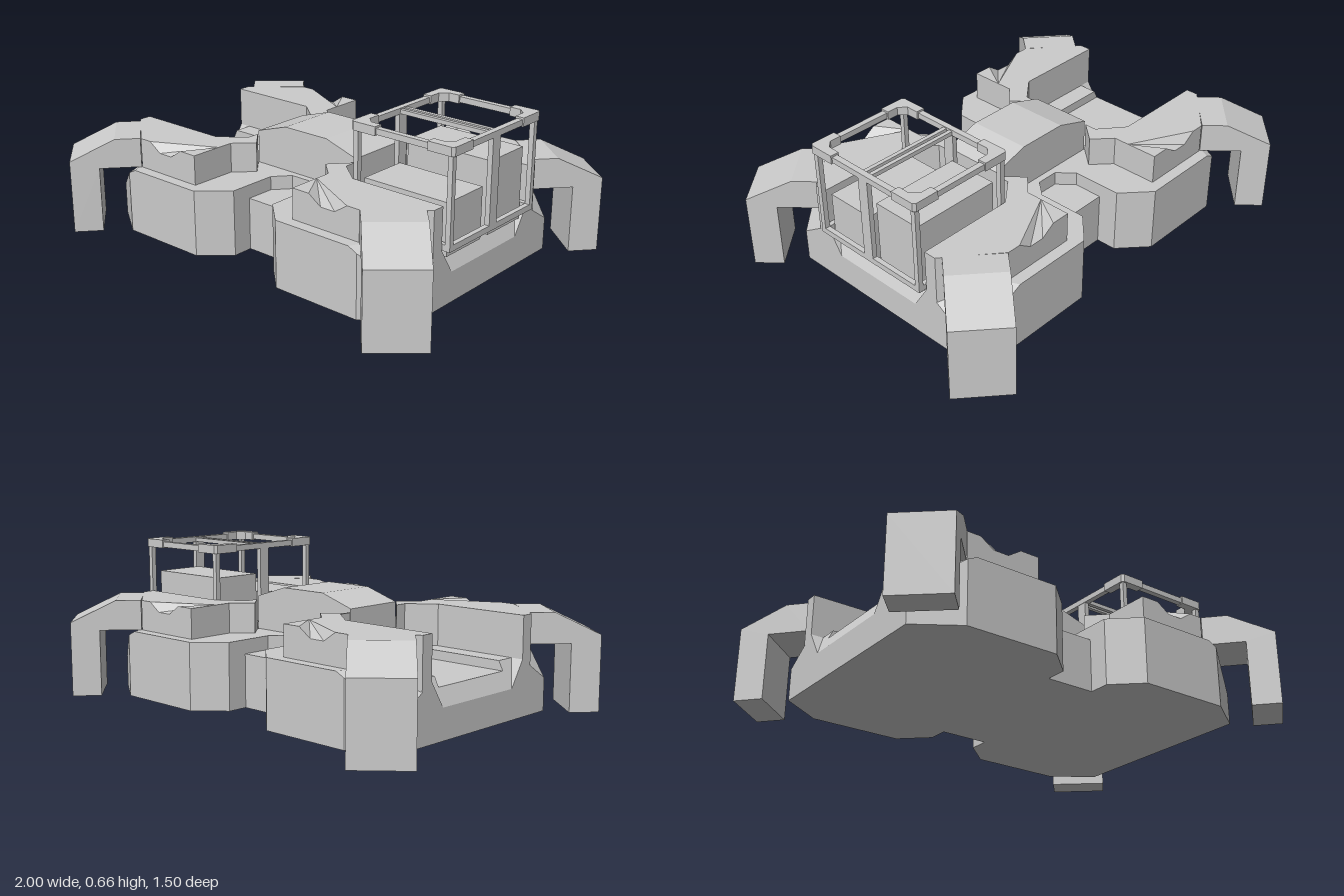
import * as THREE from 'three';
import { ConvexGeometry } from 'three/addons/geometries/ConvexGeometry.js';

const grey = new THREE.MeshStandardMaterial({ color: 0xcccccc, flatShading: true });

function add(parent, name, geometry) {
  const mesh = new THREE.Mesh(geometry, grey);
  mesh.name = name;
  parent.add(mesh);
  return mesh;
}

// Plan outline given as [x, z], raised from y0 to y1
function planPrism(points, y0, y1) {
  const shape = new THREE.Shape(points.map(([x, z]) => new THREE.Vector2(x, -z)));
  const g = new THREE.ExtrudeGeometry(shape, { depth: y1 - y0, bevelEnabled: false });
  return g.rotateX(-Math.PI / 2).translate(0, y0, 0);
}

// Side outline given as [x, y], extruded between z0 and z1
function sidePrism(points, z0, z1) {
  const shape = new THREE.Shape(points.map(([x, y]) => new THREE.Vector2(x, y)));
  return new THREE.ExtrudeGeometry(shape, { depth: z1 - z0, bevelEnabled: false }).translate(0, 0, z0);
}

function box(x0, x1, y0, y1, z0, z1) {
  return new THREE.BoxGeometry(x1 - x0, y1 - y0, z1 - z0)
    .translate((x0 + x1) / 2, (y0 + y1) / 2, (z0 + z1) / 2);
}

// Reflected copy with the corner order kept outward
function mirrored(geometry, sx, sz) {
  const g = geometry.index ? geometry.toNonIndexed() : geometry.clone();
  g.scale(sx, 1, sz);
  if (sx * sz < 0) {
    const p = g.attributes.position;
    const a = new THREE.Vector3(), b = new THREE.Vector3();
    for (let i = 0; i < p.count; i += 3) {
      a.fromBufferAttribute(p, i + 1);
      b.fromBufferAttribute(p, i + 2);
      p.setXYZ(i + 1, b.x, b.y, b.z);
      p.setXYZ(i + 2, a.x, a.y, a.z);
    }
  }
  g.computeVertexNormals();
  return g;
}

function quarterParts() {
  // Lower hull with the waist notch
  const lowerHull = planPrism([[0, 0], [0, 0.17], [0.05, 0.17], [0.11, 0.24], [0.11, 0.46], [0.23, 0.57],
    [0.5, 0.57], [0.5, 0.29], [0.385, 0.29], [0.275, 0.2], [0.275, 0]], 0, 0.29);

  // Bevelled outer corner of the hull
  const hullCorner = new ConvexGeometry([
    [0.5, 0, 0.29], [0.82, 0, 0.29], [0.82, 0, 0.45], [0.64, 0, 0.57], [0.5, 0, 0.57],
    [0.5, 0.29, 0.29], [0.7, 0.29, 0.29], [0.82, 0.21, 0.29], [0.82, 0.21, 0.34], [0.82, 0.14, 0.45],
    [0.7, 0.29, 0.36], [0.64, 0.27, 0.57], [0.6, 0.29, 0.57], [0.5, 0.29, 0.57],
  ].map((p) => new THREE.Vector3(...p)));

  // Raised deck, inner part
  const deck = planPrism([[0.275, 0.145], [0.195, 0.235], [0.275, 0.31], [0.275, 0.38], [0.776, 0.38],
    [0.82, 0.345], [0.82, 0.29], [0.385, 0.29], [0.275, 0.2]], 0.21, 0.42);

  // Raised deck, outer part with a dip in its edge
  const deckEdge = planPrism([[0.275, 0.38], [0.275, 0.52], [0.36, 0.52], [0.42, 0.52], [0.49, 0.52],
    [0.55, 0.52], [0.61, 0.52], [0.776, 0.38]], 0.29, 0.42);
  const p = deckEdge.attributes.position;
  for (let i = 0; i < p.count; i++) {
    const x = p.getX(i);
    if (p.getY(i) > 0.4 && p.getZ(i) > 0.5 && x > 0.4 && x < 0.5) p.setY(i, 0.38);
  }

  // Diagonal leg
  const leg = sidePrism([[0, 0.29], [0.181, 0.29], [0.181, 0], [0.306, 0], [0.306, 0.325],
    [0.11, 0.42], [0, 0.42]], -0.1225, 0.1225);
  leg.rotateY(-Math.atan2(0.23, 0.2025)).translate(0.705, 0, 0.44);

  // Bay floor beside the sunken tray
  const bayFloor = sidePrism([[0.275, 0], [0.82, 0], [0.82, 0.13], [0.765, 0.24], [0.275, 0.24]], 0.205, 0.29);

  // Slanted cheek at the mouth of the bay
  const bayCheek = new ConvexGeometry([0.75, 0.82].flatMap((x) => [
    new THREE.Vector3(x, 0.13, 0.22), new THREE.Vector3(x, 0.13, 0.29), new THREE.Vector3(x, 0.24, 0.29),
  ]));

  return { lowerHull, hullCorner, deck, deckEdge, leg, bayFloor, bayCheek };
}

function buildCage() {
  const cage = new THREE.Group();
  cage.name = 'cage';
  const x0 = 0.395, x1 = 0.842, zs = 0.275, r = 0.011;

  for (const x of [x0, x1]) {
    add(cage, 'topRail', box(x - 0.013, x + 0.013, 0.625, 0.65, -zs, zs));
    add(cage, 'bottomRail', box(x - r, x + r, 0.24, 0.265, -zs, zs));
    add(cage, 'middlePost', box(x - r, x + r, 0.24, 0.63, -0.024, 0.026));
  }
  for (const s of [-1, 1]) {
    add(cage, 'topSideRail', box(x0, x1, 0.625, 0.65, s * zs - 0.013, s * zs + 0.013));
    add(cage, 'bottomSideRail', box(x0, x1, 0.24, 0.265, s * zs - r, s * zs + r));
    add(cage, 'roofBar', box(x0, x1, 0.627, 0.645, s * 0.016 - 0.009, s * 0.016 + 0.009));
  }

  // Corner posts, caps and gussets
  for (const [x, dx] of [[x0, 1], [x1, -1]]) {
    for (const s of [-1, 1]) {
      const z = s * zs;
      add(cage, 'cornerPost', box(x - r, x + r, 0.24, 0.63, z - r, z + r));
      const at = (u, v) => [x + dx * u, z - s * v];
      const cap = [[-0.008, -0.019], [0.1, -0.019], [0.1, 0.02], [0.05, 0.02], [0.02, 0.05],
        [0.02, 0.105], [-0.019, 0.105], [-0.019, -0.008]].map(([u, v]) => at(u, v));
      add(cage, 'cornerCap', planPrism(cap, 0.621, 0.658));
    }
  }
  return cage;
}

export function createModel() {
  const model = new THREE.Group();
  model.name = 'platform';

  for (const [name, g] of Object.entries(quarterParts())) {
    for (const sx of [1, -1]) for (const sz of [1, -1]) add(model, name, mirrored(g, sx, sz));
  }

  // Sunken trays at both ends
  const tray = sidePrism([[0.275, 0], [0.82, 0], [0.82, 0.13], [0.785, 0.2], [0.36, 0.2],
    [0.36, 0.24], [0.275, 0.24]], -0.205, 0.205);
  for (const sx of [1, -1]) add(model, 'tray', mirrored(tray, sx, 1));

  // Waist block and arched bridge
  add(model, 'waistBlock', box(-0.11, 0.11, 0, 0.23, -0.37, 0.37));
  add(model, 'bridge', sidePrism([[-0.275, 0.24], [0.275, 0.24], [0.275, 0.435], [0.115, 0.485],
    [-0.115, 0.485], [-0.275, 0.435]], -0.14, 0.14));

  // Cage and the two crates inside it
  model.add(buildCage());
  add(model, 'tallCrate', box(0.413, 0.815, 0.2, 0.51, -0.25, -0.025));
  add(model, 'lowCrate', box(0.413, 0.815, 0.2, 0.42, 0.026, 0.252));
  return model;
}
